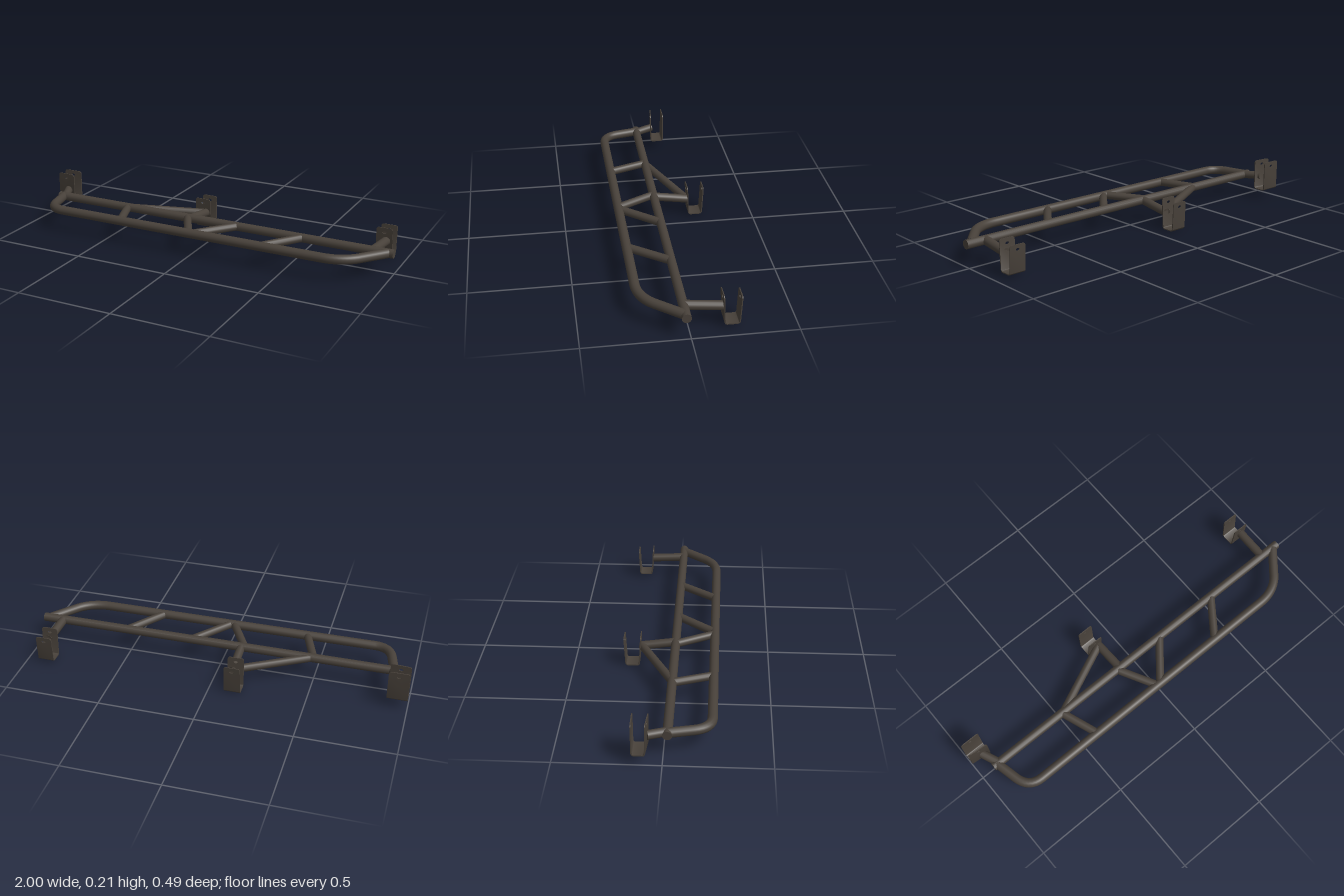
import * as THREE from 'three';
import { mergeGeometries, toCreasedNormals } from 'three/addons/utils/BufferGeometryUtils.js';

const V = (x, y, z) => new THREE.Vector3(x, y, z);
const steel = new THREE.MeshStandardMaterial({ color: 0x48413a });
steel.name = 'dark steel';

function add(group, geometry, name) {
  const mesh = new THREE.Mesh(geometry, steel);
  mesh.name = name;
  group.add(mesh);
}

// Straight capped tube between two points
function bar(group, name, a, b, radius = 0.022) {
  const dir = b.clone().sub(a);
  const geo = new THREE.CylinderGeometry(radius, radius, dir.length(), 14);
  geo.applyQuaternion(new THREE.Quaternion().setFromUnitVectors(V(0, 1, 0), dir.normalize()));
  geo.translate((a.x + b.x) / 2, (a.y + b.y) / 2, (a.z + b.z) / 2);
  add(group, geo, name);
}

// Flange plate with rounded top corners, a bolt hole and thickness t
function flange(w, y0, y1, t) {
  const h = w / 2, r = 0.014;
  const s = new THREE.Shape();
  s.moveTo(-h, y0);
  s.lineTo(h, y0);
  s.lineTo(h, y1 - r);
  s.quadraticCurveTo(h, y1, h - r, y1);
  s.lineTo(-h + r, y1);
  s.quadraticCurveTo(-h, y1, -h, y1 - r);
  const hole = new THREE.Path();
  hole.absellipse(0, y1 - 0.025, 0.011, 0.007, 0, Math.PI * 2, true);
  s.holes.push(hole);
  return new THREE.ExtrudeGeometry(s, { depth: t, bevelEnabled: false, curveSegments: 8 });
}

// U-shaped mounting bracket, flared towards the top; skew turns the front flange
function bracket(group, name, { x, z, w, depth, bottom, front, back, skew = 0, flare = 0.05 }) {
  const t = 0.005, d = depth / 2, r = 0.014;
  const s = new THREE.Shape();
  s.moveTo(-d, r);
  s.absarc(-d + r, r, r, Math.PI, Math.PI * 1.5, false);
  s.absarc(d - r, r, r, Math.PI * 1.5, Math.PI * 2, false);
  s.lineTo(d - t, r);
  s.absarc(d - r, r, r - t, 0, -Math.PI / 2, true);
  s.absarc(-d + r, r, r - t, -Math.PI / 2, -Math.PI, true);
  s.closePath();
  const base = new THREE.ExtrudeGeometry(s, { depth: w, bevelEnabled: false, curveSegments: 5 });
  base.translate(0, 0, -w / 2).rotateY(-Math.PI / 2);
  const geo = mergeGeometries([
    base,
    flange(w, r, front - bottom, t).translate(0, 0, d - t),
    flange(w, r, back - bottom, t).translate(0, 0, -d),
  ]);
  const p = geo.attributes.position;
  for (let i = 0; i < p.count; i++) {
    const lx = p.getX(i), ly = p.getY(i), lz = p.getZ(i);
    const frontness = (lz + d) / depth;
    p.setZ(i, lz + Math.sign(lz) * ly * flare + lx * skew * frontness);
  }
  geo.translate(x, bottom, z);
  add(group, toCreasedNormals(geo, 0.6), name);
}

export function createModel() {
  const g = new THREE.Group();
  g.name = 'side step';
  const Y = 0.112, R = 0.024;

  // Outer rail: straight runs joined by rounded bends
  const path = new THREE.CurvePath();
  const line = (a, b) => path.add(new THREE.LineCurve3(a, b));
  const bend = (a, b, c) => path.add(new THREE.QuadraticBezierCurve3(a, b, c));
  const q = [
    V(-0.905, Y, 0.02), V(-0.88, Y, 0.13), V(-0.862, Y, 0.218), V(-0.78, Y, 0.22),
    V(0.70, Y, 0.22), V(0.80, Y, 0.22), V(0.86, Y, 0.155), V(0.968, Y, 0.025),
  ];
  line(q[0], q[1]);
  bend(q[1], q[2], q[3]);
  line(q[3], q[4]);
  bend(q[4], q[5], q[6]);
  line(q[6], q[7]);
  add(g, new THREE.TubeGeometry(path, 120, R, 14), 'outerRail');

  // Inner rail
  bar(g, 'innerRail', V(-0.93, Y, 0.019), V(1.0, Y, 0.022), 0.023);

  // Cross braces between the rails
  [[-0.49, -0.42], [-0.125, -0.02], [0.165, 0.005], [0.525, 0.38]].forEach(([a, b], i) =>
    bar(g, 'crossBrace' + (i + 1), V(a, Y, 0.02), V(b, Y, 0.215), 0.021));

  // Arms reaching back to the brackets
  bar(g, 'leftArm', V(0.892, Y, 0.02), V(0.902, 0.098, -0.162), 0.023);
  bar(g, 'middleArm', V(-0.106, Y, 0.02), V(-0.106, 0.085, -0.162), 0.022);
  bar(g, 'diagonalArm', V(-0.48, Y, 0.02), V(-0.115, 0.087, -0.15), 0.021);
  bar(g, 'rightArm', V(-0.895, Y, 0.02), V(-0.935, 0.118, -0.073), 0.022);

  // Mounting brackets
  bracket(g, 'leftBracket', { x: 0.893, z: -0.2, w: 0.085, depth: 0.074, bottom: 0.012, front: 0.168, back: 0.158 });
  bracket(g, 'middleBracket', { x: -0.124, z: -0.2, w: 0.085, depth: 0.074, bottom: 0, front: 0.163, back: 0.155 });
  bracket(g, 'rightBracket', {
    x: -0.945, z: -0.106, w: 0.105, depth: 0.07, bottom: 0.045, front: 0.21, back: 0.21, skew: 0.09, flare: 0.01,
  });
  return g;
}
